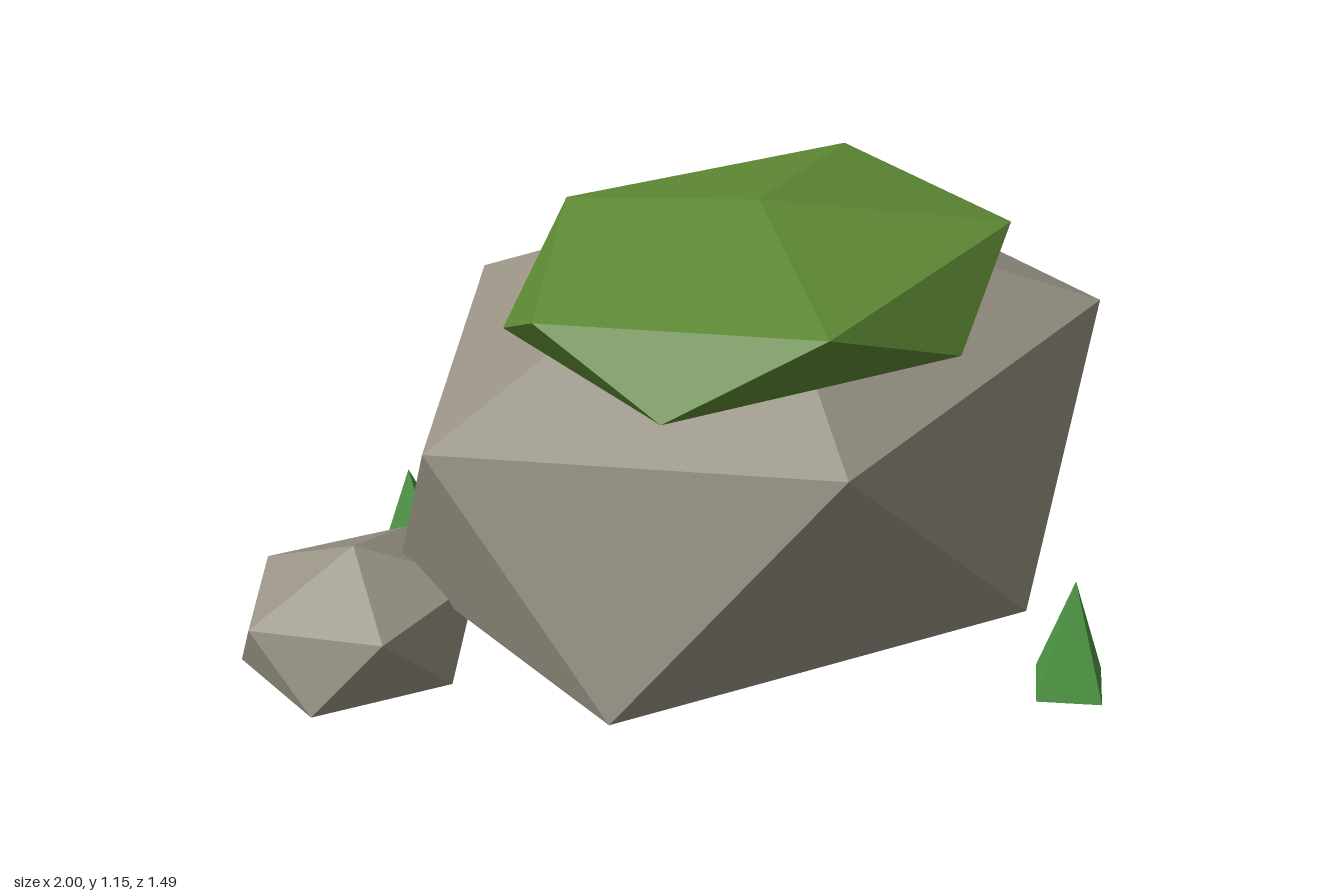
import * as THREE from 'three';

// Faceted boulder: a 20-sided solid standing on a vertex, with two staggered rings of five
function boulder(rx, ry, rz) {
  const ring = 2 / Math.sqrt(5), h = 1 / Math.sqrt(5);
  const verts = [0, 1, 0], faces = [];
  for (const [start, y] of [[Math.PI, h], [Math.PI * 1.2, -h]]) {
    for (let i = 0; i < 5; i++) {
      const a = start + i * Math.PI * 0.4;
      verts.push(ring * Math.cos(a), y, ring * Math.sin(a));
    }
  }
  verts.push(0, -1, 0);
  for (let i = 0; i < 5; i++) {
    const u = 1 + i, u2 = 1 + (i + 1) % 5, l = u + 5, l2 = u2 + 5;
    faces.push(0, u2, u, u, u2, l, l, u2, l2, l, l2, 11);
  }
  return new THREE.PolyhedronGeometry(verts, faces, 1, 0).scale(rx, ry, rz);
}

export function createModel() {
  const model = new THREE.Group();
  model.name = 'mossyRocks';
  const stone = new THREE.MeshStandardMaterial({ color: 0x9a9486 });
  stone.name = 'stone';
  const moss = new THREE.MeshStandardMaterial({ color: 0x5f8a35 });
  moss.name = 'moss';
  const grass = new THREE.MeshStandardMaterial({ color: 0x4f9a45 });
  grass.name = 'grass';

  const add = (name, geometry, material, x, y, z) => {
    const mesh = new THREE.Mesh(geometry, material);
    mesh.name = name;
    mesh.position.set(x, y, z);
    model.add(mesh);
  };

  // Rocks and the moss cap
  add('largeRock', boulder(0.9, 0.553, 0.692), stone, 0.035, 0.555, 0);
  add('smallRock', boulder(0.287, 0.18, 0.256), stone, -0.743, 0.251, -0.327);
  add('mossCap', boulder(0.615, 0.163, 0.477), moss, -0.03, 0.99, 0.107);

  // Four-sided grass tufts: x, z, height
  const tufts = [[0.9, -0.217, 0.275], [0.36, 0.65, 0.255], [-0.4, -0.65, 0.213]];
  tufts.forEach(([x, z, h], i) => {
    const cone = new THREE.ConeGeometry(0.096, h, 4).toNonIndexed();
    cone.computeVertexNormals();
    add('grassTuft' + (i + 1), cone, grass, x, 0.124 + h / 2, z);
  });

  return model;
}
